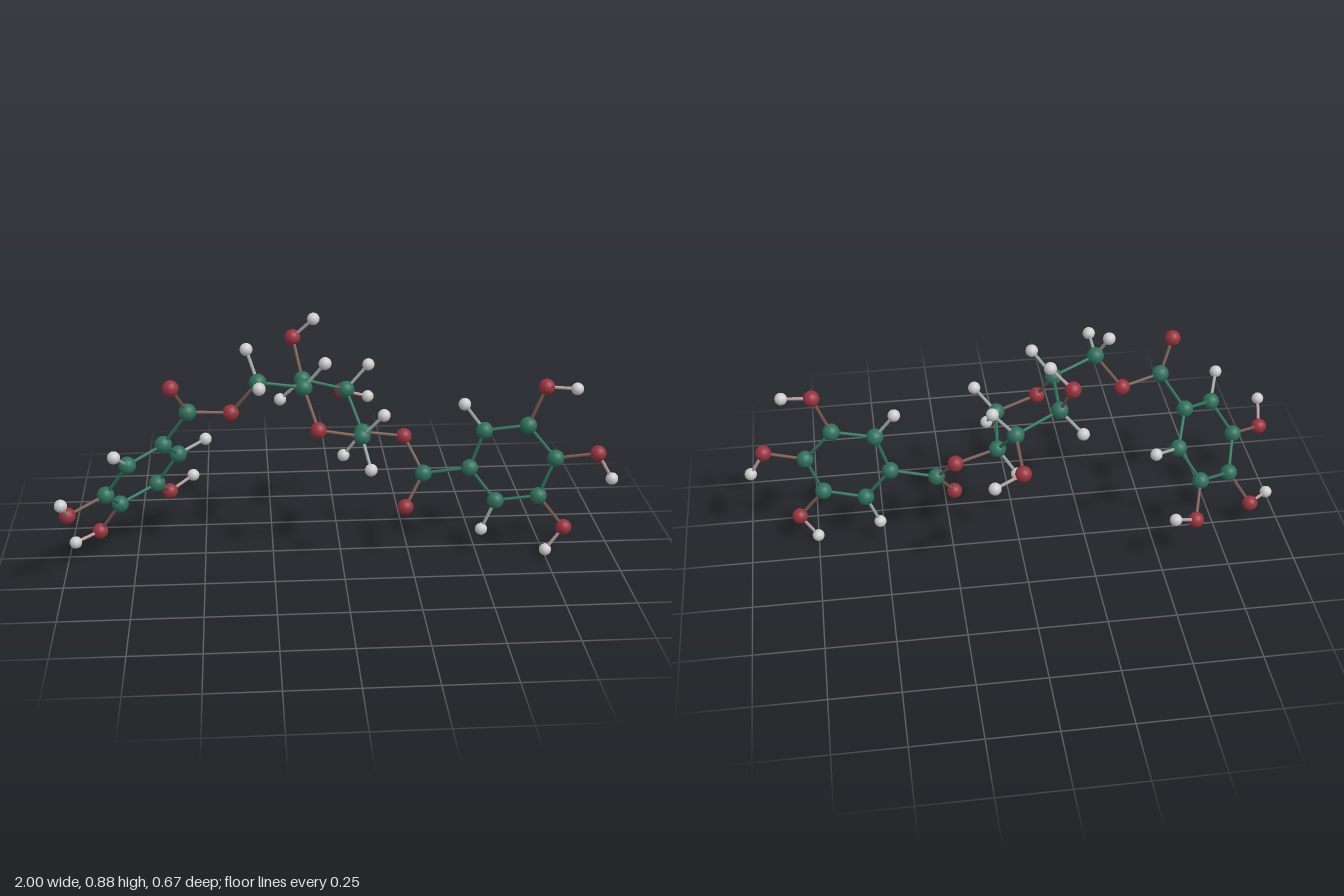
import * as THREE from 'three';

// Ball size and colour per element
const ELEMENTS = {
  C: { name: 'carbonAtom', radius: 0.031, color: 0x2f6f5b },
  O: { name: 'oxygenAtom', radius: 0.029, color: 0x97333e },
  H: { name: 'hydrogenAtom', radius: 0.0225, color: 0xcccccc },
};
const BOND_RADIUS = 0.006;

// Each atom: key (first letter is the element), position, key of the atom it hangs from
const sugarRing = [
  ['C5', [-0.135, 0.676, 0.082]],
  ['O5', [-0.088, 0.545, 0.165], 'C5'],
  ['C1', [0.067, 0.506, 0.134], 'O5'],
  ['C2', [0.083, 0.458, -0.032], 'C1'],
  ['C3', [0.03, 0.587, -0.136], 'C2'],
  ['C4', [-0.132, 0.645, -0.09], 'C3'],
  ['H5', [-0.061, 0.773, 0.111], 'C5'],
  ['H1a', [0.094, 0.409, 0.212], 'C1'],
  ['H1b', [0.142, 0.596, 0.167], 'C1'],
  ['H2', [0.015, 0.358, -0.057], 'C2'],
  ['H3', [0.112, 0.681, -0.137], 'C3'],
  ['H4', [-0.213, 0.558, -0.124], 'C4'],
  ['O3', [0.024, 0.528, -0.288], 'C3'],
  ['HO3', [0.126, 0.493, -0.313], 'O3'],
  ['O4', [-0.163, 0.781, -0.17], 'C4'],
  ['HO4', [-0.088, 0.857, -0.143], 'O4'],
];

const rightArm = [
  ['O2', [0.238, 0.427, -0.059], 'C2'],
  ['Cr', [0.302, 0.313, 0.026], 'O2'],
  ['Or', [0.233, 0.203, 0.077], 'Cr'],
  ['Cr1', [0.468, 0.34, 0.051], 'Cr'],
  ['Cr2', [0.516, 0.488, 0.06], 'Cr1'],
  ['Cr3', [0.671, 0.511, 0.079], 'Cr2'],
  ['Cr4', [0.773, 0.388, 0.097], 'Cr3'],
  ['Cr5', [0.717, 0.24, 0.093], 'Cr4'],
  ['Cr6', [0.564, 0.215, 0.068], 'Cr5'],
  ['Hr2', [0.444, 0.585, 0.045], 'Cr2'],
  ['Hr6', [0.516, 0.099, 0.063], 'Cr6'],
  ['Or3', [0.73, 0.658, 0.084], 'Cr3'],
  ['HOr3', [0.837, 0.654, 0.102], 'Or3'],
  ['Or4', [0.922, 0.412, 0.121], 'Cr4'],
  ['HOr4', [0.976, 0.316, 0.13], 'Or4'],
  ['Or5', [0.813, 0.119, 0.11], 'Cr5'],
  ['HOr5', [0.751, 0.026, 0.102], 'Or5'],
];

const leftArm = [
  ['C6', [-0.297, 0.717, 0.134], 'C5'],
  ['H6a', [-0.334, 0.82, 0.078], 'C6'],
  ['H6b', [-0.294, 0.737, 0.258], 'C6'],
  ['O6', [-0.393, 0.595, 0.1], 'C6'],
  ['Cl', [-0.543, 0.615, 0.139], 'O6'],
  ['Ol', [-0.596, 0.726, 0.2], 'Cl'],
  ['Cl1', [-0.634, 0.479, 0.096], 'Cl'],
  ['Cl2', [-0.757, 0.441, 0.187], 'Cl1'],
  ['Cl3', [-0.842, 0.312, 0.146], 'Cl2'],
  ['Cl4', [-0.803, 0.222, 0.022], 'Cl3'],
  ['Cl5', [-0.671, 0.262, -0.065], 'Cl4'],
  ['Cl6', [-0.588, 0.392, -0.027], 'Cl5'],
  ['Hl2', [-0.794, 0.51, 0.283], 'Cl2'],
  ['Hl6', [-0.489, 0.421, -0.096], 'Cl6'],
  ['Ol3', [-0.97, 0.275, 0.231], 'Cl3'],
  ['HOl3', [-0.981, 0.349, 0.313], 'Ol3'],
  ['Ol4', [-0.885, 0.098, -0.018], 'Cl4'],
  ['HOl4', [-0.968, 0.088, 0.055], 'Ol4'],
  ['Ol5', [-0.631, 0.177, -0.187], 'Cl5'],
  ['HOl5', [-0.543, 0.221, -0.232], 'Ol5'],
];

// Bonds that close the three six-sided rings
const ringClosures = [['C4', 'C5'], ['Cr6', 'Cr1'], ['Cl6', 'Cl1']];

export function createModel() {
  const model = new THREE.Group();
  model.name = 'ballAndStickMolecule';
  const atoms = new Map();
  const materials = new Map();

  const material = (color) => {
    const key = color.getHex();
    if (!materials.has(key)) materials.set(key, new THREE.MeshStandardMaterial({ color }));
    return materials.get(key);
  };
  const balls = {};
  for (const [symbol, e] of Object.entries(ELEMENTS)) {
    balls[symbol] = new THREE.SphereGeometry(e.radius, 28, 18);
  }
  const stick = new THREE.CylinderGeometry(BOND_RADIUS, BOND_RADIUS, 1, 12, 1, true);

  // Stick between two atoms, tinted halfway between their colours
  function addBond(parent, a, b) {
    const from = atoms.get(a), to = atoms.get(b);
    const dir = to.clone().sub(from);
    const color = new THREE.Color(ELEMENTS[a[0]].color).lerp(new THREE.Color(ELEMENTS[b[0]].color), 0.5);
    const bond = new THREE.Mesh(stick, material(color));
    bond.name = 'bond';
    bond.position.copy(from).addScaledVector(dir, 0.5);
    bond.scale.y = dir.length();
    bond.quaternion.setFromUnitVectors(new THREE.Vector3(0, 1, 0), dir.normalize());
    parent.add(bond);
  }

  // Balls of each section with the bond back to the atom before
  for (const [name, list] of Object.entries({ sugarRing, rightArm, leftArm })) {
    const section = new THREE.Group();
    section.name = name;
    for (const [key, position, parentKey] of list) {
      const element = ELEMENTS[key[0]];
      const ball = new THREE.Mesh(balls[key[0]], material(new THREE.Color(element.color)));
      ball.name = element.name;
      ball.position.set(...position);
      atoms.set(key, ball.position);
      section.add(ball);
      if (parentKey) addBond(section, parentKey, key);
    }
    model.add(section);
  }
  for (const [a, b] of ringClosures) addBond(model, a, b);
  return model;
}
